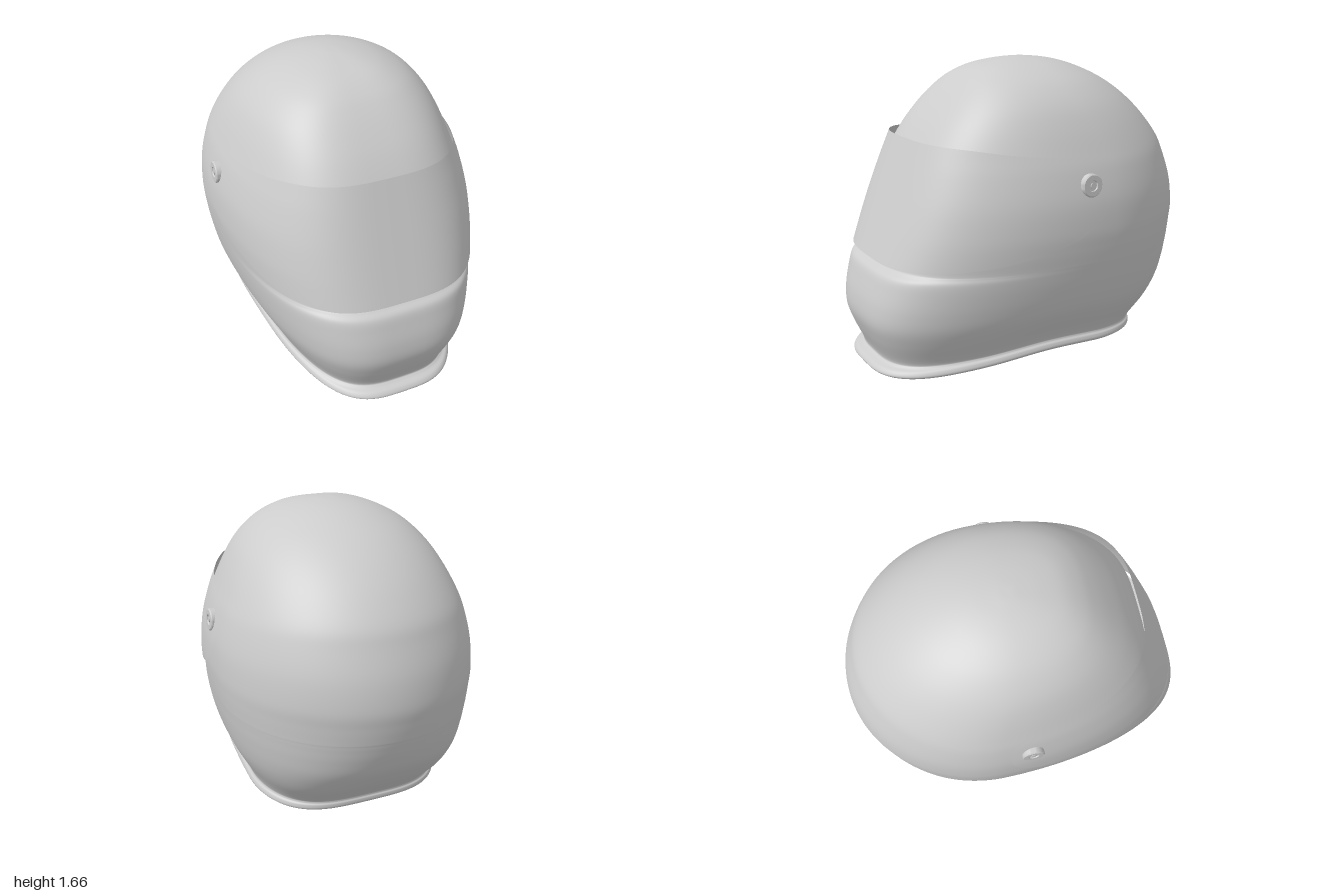
import * as THREE from 'three';
import { mergeVertices, toCreasedNormals } from 'three/addons/utils/BufferGeometryUtils.js';

// Uniform Catmull-Rom through rows of numbers, s counted in rows
function spline(rows, s) {
  const last = rows.length - 1;
  const i = Math.min(Math.max(Math.floor(s), 0), last - 1), t = s - i;
  const at = (k) => rows[Math.min(Math.max(k, 0), last)];
  const [a, b, c, d] = [at(i - 1), at(i), at(i + 1), at(i + 2)];
  return b.map((v, n) => v + 0.5 * t * (c[n] - a[n] + t * (2 * a[n] - 5 * v + 4 * c[n] - d[n] + t * (3 * (v - c[n]) + d[n] - a[n]))));
}

// Smooth surface from a grid of points, leaving out the cells that skip() names
function grid(rows, cols, point, skip = () => false) {
  const pos = [], idx = [];
  for (let i = 0; i <= rows; i++) for (let j = 0; j <= cols; j++) pos.push(...point(i, j));
  for (let i = 0; i < rows; i++) for (let j = 0; j < cols; j++) {
    if (skip(i, j)) continue;
    const a = i * (cols + 1) + j, b = a + cols + 1;
    idx.push(a, a + 1, b + 1, a, b + 1, b);
  }
  let g = new THREE.BufferGeometry();
  g.setAttribute('position', new THREE.Float32BufferAttribute(pos, 3));
  g.setIndex(idx);
  g = mergeVertices(g, 1e-5);
  g.computeVertexNormals();
  return g;
}

// Outer shell sections: height, half width, front z, back z (then the centre z)
const outer = [
  [0, 0.53, 0.95, -0.61], [0.02, 0.56, 0.98, -0.645], [0.045, 0.557, 0.965, -0.65],
  [0.06, 0.545, 0.93, -0.645], [0.085, 0.55, 0.922, -0.66], [0.2, 0.603, 0.97, -0.765],
  [0.3, 0.64, 1.0, -0.838], [0.4, 0.666, 0.995, -0.9], [0.5, 0.688, 0.97, -0.942],
  [0.57, 0.7, 0.945, -0.964], [0.6, 0.705, 0.907, -0.972], [0.62, 0.708, 0.89, -0.977],
  [0.7, 0.717, 0.872, -0.991], [0.8, 0.722, 0.838, -1], [0.95, 0.711, 0.782, -0.977],
  [1.1, 0.675, 0.718, -0.925], [1.2, 0.637, 0.667, -0.88], [1.32, 0.582, 0.585, -0.785],
  [1.42, 0.522, 0.5, -0.68], [1.5, 0.45, 0.42, -0.57], [1.56, 0.37, 0.345, -0.46],
  [1.61, 0.265, 0.25, -0.335], [1.64, 0.16, 0.135, -0.22], [1.655, 0.06, 0.02, -0.1],
  [1.657, 0, -0.04, -0.04],
].map((r) => [...r, -0.2 + 0.16 * THREE.MathUtils.smoothstep(r[0], 1.1, 1.657)]);

// Liner sections (crown down to the neck), neck hole, then the outer skin
const liner = outer.slice(5).reverse().map(([y, w, f, b, c]) =>
  [y > 0.6 ? 0.6 + (y - 0.6) * 0.95 : y, w * 0.93, c + (f - c) * 0.93, c + (b - c) * 0.93, c]);
const neck = [
  [0.07, 0.41, 0.77, -0.48, -0.2], [0.01, 0.38, 0.73, -0.44, -0.2],
  [0, 0.39, 0.75, -0.45, -0.2], [0, 0.51, 0.93, -0.59, -0.2],
];
const sections = [...liner, ...neck, ...outer];
const BASE = liner.length + neck.length;

// Height of the arched neck edge along z
const arch = [[0.04], [0.06], [0.073], [0.038], [0.003], [0]];
const lift = (z, y) => spline(arch, THREE.MathUtils.clamp((z + 0.7) / 0.4, 0, 5))[0]
  * (1 - THREE.MathUtils.smoothstep(y, 0.08, 0.45));

// Point at angle a around one section, a = 0 at the front; the back squares off towards the neck
function around([y, w, f, b, c], a) {
  const cos = Math.cos(a), sin = Math.sin(a);
  const power = cos > 0 ? 0.62 : 0.58 + 0.42 * THREE.MathUtils.smoothstep(y, 0, 0.75);
  const x = w * Math.sign(sin) * Math.pow(Math.abs(sin), power);
  const z = c + cos * (cos > 0 ? f - c : c - b);
  return [x, y + lift(z, y), z];
}

// Outer section at a given height
function sectionAt(y) {
  let lo = BASE, hi = sections.length - 1;
  for (let n = 0; n < 30; n++) {
    const mid = (lo + hi) / 2;
    if (spline(sections, mid)[0] < y) lo = mid; else hi = mid;
  }
  return spline(sections, lo);
}

export function createModel() {
  const group = new THREE.Group();
  const grey = new THREE.MeshStandardMaterial({ color: 0xcccccc, side: THREE.DoubleSide });
  grey.name = 'light grey';
  const add = (name, geometry, parent = group) => {
    const mesh = new THREE.Mesh(geometry, grey);
    mesh.name = name;
    parent.add(mesh);
    return mesh;
  };

  // Shell with liner, rolled neck edge and eye port
  const SUB = 6, COLS = 144, PORT = 24, LOW = 12, HIGH = 15;
  const angle = (j) => (j - COLS / 2) * 2 * Math.PI / COLS;
  const inPort = (i, j) => {
    const k = Math.abs((i + 0.5) / SUB - BASE);
    return k > LOW && k < HIGH && Math.abs(j + 0.5 - COLS / 2) < PORT;
  };
  add('shell', grid((sections.length - 1) * SUB, COLS,
    (i, j) => around(spline(sections, i / SUB), angle(j)), inPort));

  // Edge of the eye port, joining outer skin and liner
  const loop = [], mid = COLS / 2;
  for (let j = -PORT; j < PORT; j++) loop.push([LOW, mid + j]);
  for (let k = LOW * SUB; k < HIGH * SUB; k++) loop.push([k / SUB, mid + PORT]);
  for (let j = PORT; j > -PORT; j--) loop.push([HIGH, mid + j]);
  for (let k = HIGH * SUB; k >= LOW * SUB; k--) loop.push([k / SUB, mid - PORT]);
  add('eyePortEdge', grid(1, loop.length - 1, (i, j) => {
    const [k, col] = loop[j];
    return around(spline(sections, BASE + (i ? k : -k)), angle(col));
  }));

  // Visor outline: angle, lower edge, upper edge
  const half = [
    [1.534, 1.03, 1.05], [1.526, 0.95, 1.11], [1.481, 0.865, 1.155], [1.39, 0.79, 1.18],
    [1.297, 0.742, 1.187], [1.104, 0.69, 1.2], [0.902, 0.659, 1.218], [0.644, 0.641, 1.241],
    [0.32, 0.632, 1.253],
  ];
  const outline = [...half.map(([a, l, u]) => [-a, l, u]), [0, 0.63, 1.255], ...half.slice().reverse()];
  const vCols = (outline.length - 1) * 8, vRows = 20;
  add('visor', grid(vRows, vCols, (i, j) => {
    const [a, low, high] = spline(outline, j / 8);
    const y = low + (high - low) * i / vRows;
    const [, w, , b, c] = sectionAt(y);
    return around([y, w + 0.009, 0.93 - 0.384 * (y - 0.63), b, c], a);
  }));

  // Visor pivots on both sides
  const profile = [[0.062, -0.025], [0.062, 0.01], [0.056, 0.016], [0.03, 0.016], [0.027, 0.009], [0, 0.009]]
    .map(([x, y]) => new THREE.Vector2(x, y));
  for (const side of [1, -1]) {
    const pivot = new THREE.Group();
    pivot.name = side > 0 ? 'leftPivot' : 'rightPivot';
    pivot.position.set(side * 0.698, 1.04, -0.045);
    pivot.rotation.z = -side * (Math.PI / 2 - 0.05);
    add('pivotCap', toCreasedNormals(new THREE.LatheGeometry(profile, 40), 0.5), pivot);
    add('pivotScrew', new THREE.CylinderGeometry(0.014, 0.014, 0.006, 6), pivot).position.y = 0.012;
    group.add(pivot);
  }
  return group;
}
